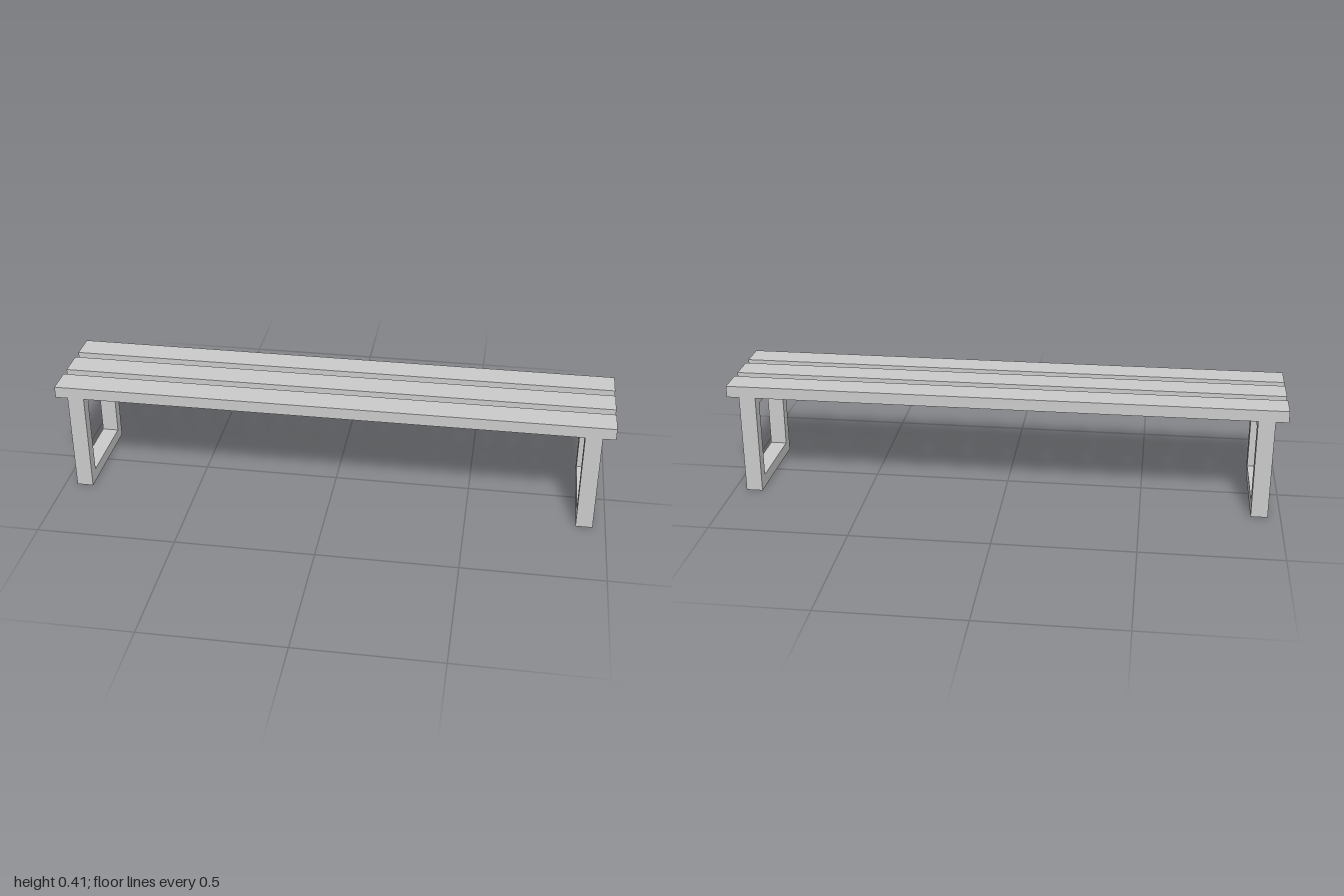
import * as THREE from 'three';

export function createModel() {
  const bench = new THREE.Group();
  bench.name = 'bench';
  const material = new THREE.MeshStandardMaterial({ color: 0xcccccc, flatShading: true });

  // Rectangle outline, given in the plane of the leg frame
  const rectangle = (Type, halfWidth, bottom, top) => {
    const outline = new Type();
    outline.moveTo(-halfWidth, bottom);
    outline.lineTo(halfWidth, bottom);
    outline.lineTo(halfWidth, top);
    outline.lineTo(-halfWidth, top);
    outline.closePath();
    return outline;
  };

  // Leg frames: closed rectangular loops, one near each end
  const legThickness = 0.06;
  const frameShape = rectangle(THREE.Shape, 0.189, 0, 0.376);
  frameShape.holes.push(rectangle(THREE.Path, 0.145, 0.045, 0.333));
  const frameGeometry = new THREE.ExtrudeGeometry(frameShape, { depth: legThickness, bevelEnabled: false });
  frameGeometry.translate(0, 0, -legThickness / 2);
  frameGeometry.rotateY(Math.PI / 2);
  for (const side of [1, -1]) {
    const frame = new THREE.Mesh(frameGeometry, material);
    frame.name = side > 0 ? 'leftLegFrame' : 'rightLegFrame';
    frame.position.x = side * 0.925;
    bench.add(frame);
  }

  // Seat slats: three full-length planks, sunk slightly over the frames
  const slatGeometry = new THREE.BoxGeometry(2, 0.042, 0.102);
  const slats = { frontSlat: 0.138, middleSlat: 0.001, backSlat: -0.138 };
  for (const [name, z] of Object.entries(slats)) {
    const slat = new THREE.Mesh(slatGeometry, material);
    slat.name = name;
    slat.position.set(0, 0.39, z);
    bench.add(slat);
  }

  return bench;
}
